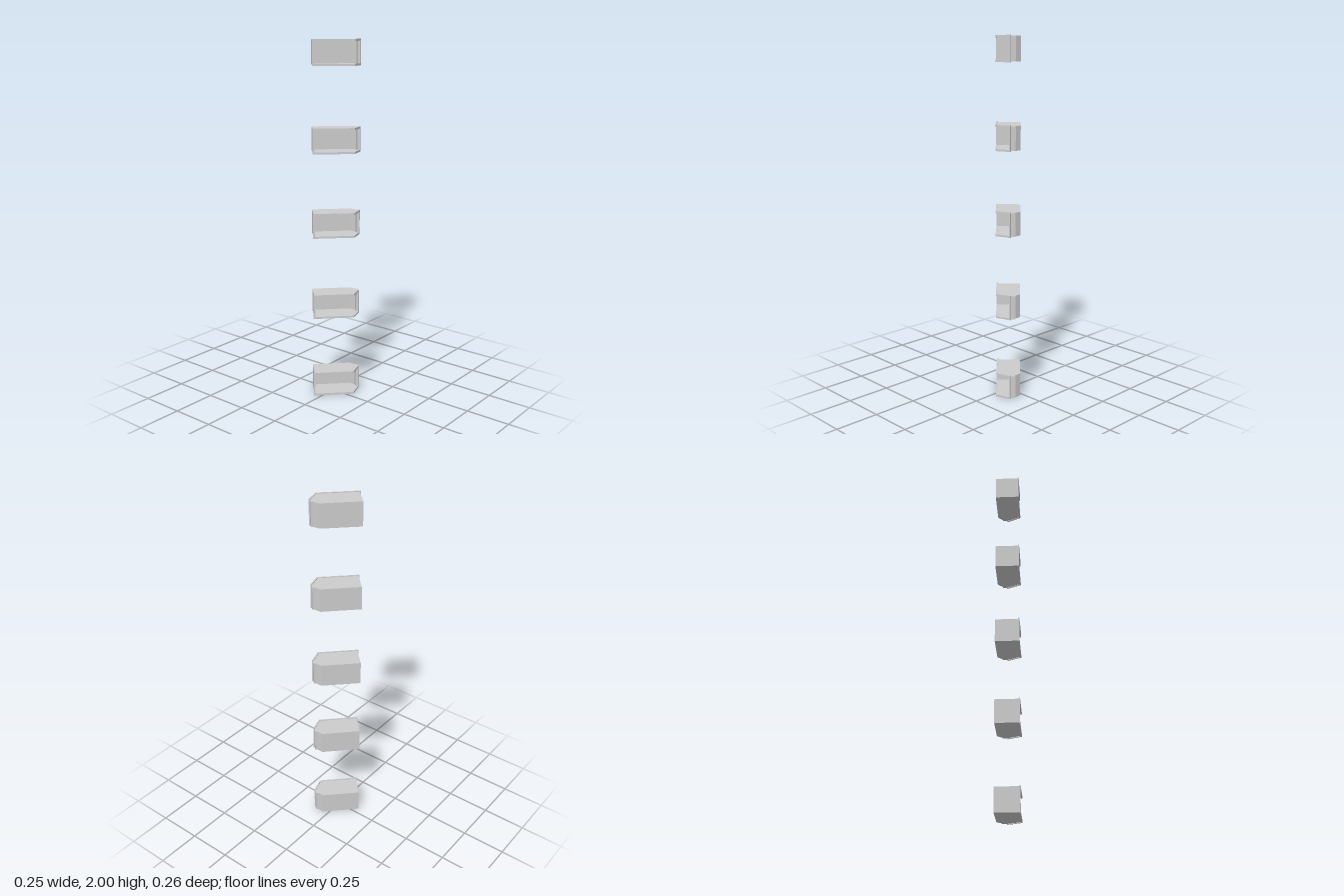
import * as THREE from 'three';

const material = new THREE.MeshStandardMaterial({ color: 0xcccccc, flatShading: true, side: THREE.DoubleSide });
const COUNT = 5, HEIGHT = 0.139, STEP = (2 - HEIGHT) / (COUNT - 1);
const INSET = 0.004, SLAB = 0.004, RAIL = 0.011;

// upright prism from a plan outline of [x, z] points
function prism(name, plan, y0, y1) {
  const shape = new THREE.Shape(plan.map(([x, z]) => new THREE.Vector2(x, -z)));
  const geometry = new THREE.ExtrudeGeometry(shape, { depth: y1 - y0, bevelEnabled: false });
  geometry.rotateX(-Math.PI / 2).translate(0, y0, 0);
  const mesh = new THREE.Mesh(geometry, material);
  mesh.name = name;
  return mesh;
}

// thin wall along a plan segment, thickened to its inner side
function wall(name, a, b, y0, y1, thickness = 0.003) {
  const dx = b[0] - a[0], dz = b[1] - a[1], k = thickness / Math.hypot(dx, dz);
  const n = [-dz * k, dx * k];
  return prism(name, [a, b, [b[0] + n[0], b[1] + n[1]], [a[0] + n[0], a[1] + n[1]]], y0, y1);
}

function createBay() {
  const bay = new THREE.Group();
  const low = INSET, high = HEIGHT - INSET;

  // plan corners, with the open front facing +z
  const frontLeft = [-0.111, 0.06], backLeft = [-0.111, -0.068];
  const backRight = [0.106, -0.068], jambBack = [0.134, -0.0405];
  const jambOuter = [0.145, -0.0415], jambFront = [0.147, -0.0155], frontRight = [0.107, 0.06];
  const outline = [frontLeft, backLeft, backRight, jambBack, jambOuter, jambFront, frontRight];

  // floor and ceiling
  bay.add(prism('floor', outline, low, low + SLAB));
  bay.add(prism('ceiling', outline, high - SLAB, high));

  // closed sides
  bay.add(wall('endWall', frontLeft, backLeft, low, high).translateX(0));
  bay.add(wall('backWall', backLeft, backRight, low, high));
  bay.add(wall('angledBackWall', backRight, jambBack, low, high));
  bay.add(prism('sideJamb', [jambBack, jambOuter, jambFront, [0.136, -0.0155]], low, high));

  // rails around the open front and the slanted side
  const railPlan = [[-0.117, 0.06], [-0.117, 0.067], [0.111, 0.067], [0.152, -0.0125],
    [0.145, -0.016], [0.1065, 0.06]];
  bay.add(prism('bottomRail', railPlan, 0, RAIL));
  bay.add(prism('topRail', railPlan, HEIGHT - RAIL, HEIGHT));

  // posts at both ends of the rails
  bay.add(prism('leftPost', [[-0.117, 0.06], [-0.117, 0.067], [-0.107, 0.067], [-0.107, 0.06]], 0, HEIGHT));
  bay.add(prism('rightPost', [[0.145, -0.016], [0.152, -0.0125], [0.1485, -0.0055], [0.1415, -0.009]], 0, HEIGHT));
  return bay;
}

export function createModel() {
  const model = new THREE.Group();
  model.name = 'bayStack';
  for (let i = 0; i < COUNT; i++) {
    const bay = createBay();
    bay.name = `bay${i + 1}`;
    bay.position.y = i * STEP;
    bay.rotation.y = Math.PI / 4;
    model.add(bay);
  }
  return model;
}
